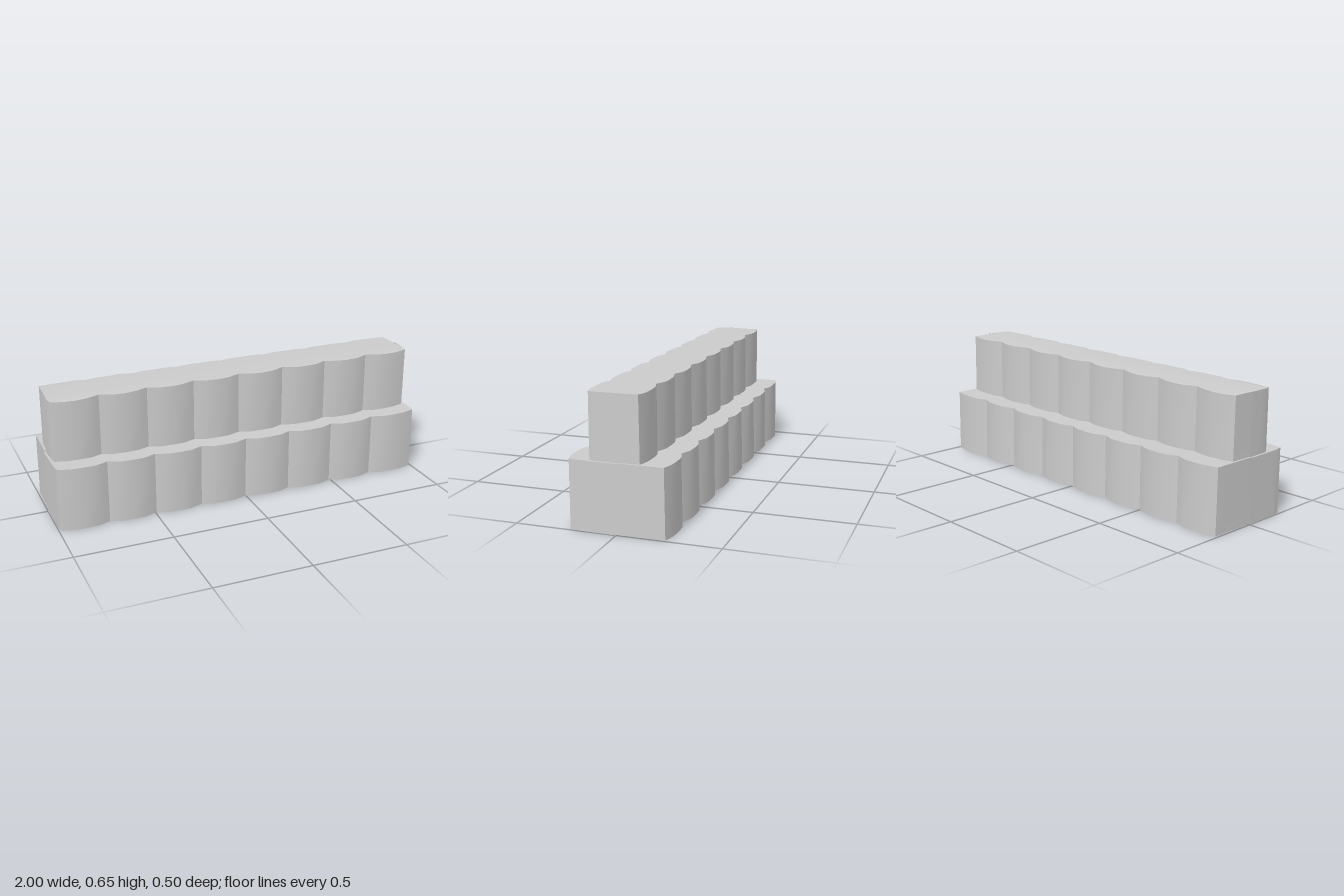
import * as THREE from 'three';
import { toCreasedNormals } from 'three/addons/utils/BufferGeometryUtils.js';

const LOBES = 8;
const LOBE_PROFILE = [[0, 0], [0.25, 0.9], [0.5, 1], [0.75, 0.9]];

// One scalloped long side, from left to right: [x, z]
function scallopedSide(halfLength, crest, notch) {
  const pts = [];
  const corner = halfLength - 0.012;
  const edge = (i) => (i === 0 ? -corner : i === LOBES ? corner : -0.985 + 0.246 * i);
  for (let i = 0; i < LOBES; i++) {
    for (const [t, h] of LOBE_PROFILE) {
      const outer = (i === 0 && t === 0) ? 0.3 : h;
      pts.push([THREE.MathUtils.lerp(edge(i), edge(i + 1), t), notch + (crest - notch) * outer]);
    }
  }
  pts.push([corner, notch + (crest - notch) * 0.3]);
  return pts;
}

// Closed outline, counter-clockwise seen from above
function outline({ halfLength, front, frontNotch, back, backNotch }) {
  const f = scallopedSide(halfLength, front, frontNotch);
  const b = scallopedSide(halfLength, back, backNotch).reverse();
  const end = [0.85, 0.45, 0, -0.45, -0.85].map((t) => [
    halfLength - 0.006 * Math.abs(t),
    t > 0 ? frontNotch * t : -backNotch * t * -1,
  ]);
  const otherEnd = end.map(([x, z]) => [-x, z]).reverse();
  return [...f, ...end, ...b, ...otherEnd];
}

const ring = (pts, height) => pts.map(([x, z]) => new THREE.Vector3(x, height(x), z));

// Quads between two closed rings
function bridge(out, lower, upper) {
  lower.forEach((a, i) => {
    const j = (i + 1) % lower.length;
    const b = lower[j], c = upper[j], d = upper[i];
    out.push(a, b, c, a, c, d);
  });
}

function cap(out, pts) {
  const flat = pts.map((p) => new THREE.Vector2(p.x, -p.z));
  for (const f of THREE.ShapeUtils.triangulateShape(flat, [])) out.push(...f.map((i) => pts[i]));
}

function makeMesh(name, triangles, material) {
  const geometry = new THREE.BufferGeometry().setFromPoints(triangles);
  const mesh = new THREE.Mesh(toCreasedNormals(geometry, 0.55), material);
  mesh.name = name;
  return mesh;
}

export function createModel() {
  const group = new THREE.Group();
  group.name = 'steppedHedge';
  const material = new THREE.MeshStandardMaterial({ color: 0xcccccc, side: THREE.DoubleSide });

  // Gently uneven heights of the ledge and the top
  const ledgeY = (x) => 0.325 + 0.008 * x * x + 0.003 * x;
  const topY = (x) => 0.645 + 0.006 * x + 0.002 * Math.cos(x * 25);

  const base = { halfLength: 1, front: 0.248, frontNotch: 0.222, back: -0.25, backNotch: -0.224 };
  const lowerBottom = ring(outline(base), () => 0);
  const lowerTop = ring(outline({ ...base, back: -0.244, backNotch: -0.219 }), ledgeY);

  const tier = { halfLength: 0.99, front: 0.149, frontNotch: 0.125, back: -0.125, backNotch: -0.104 };
  const upperBottom = ring(outline(tier), ledgeY);
  const upperTop = ring(outline({ ...tier, back: -0.12, backNotch: -0.1 }), topY);

  // Lower tier: open underneath, with a ledge around the upper tier
  const lower = [];
  bridge(lower, lowerBottom, lowerTop);
  bridge(lower, lowerTop, upperBottom);
  group.add(makeMesh('lowerTier', lower, material));

  // Upper tier: scalloped wall with a closed top
  const upper = [];
  bridge(upper, upperBottom, upperTop);
  cap(upper, upperTop);
  group.add(makeMesh('upperTier', upper, material));

  return group;
}
